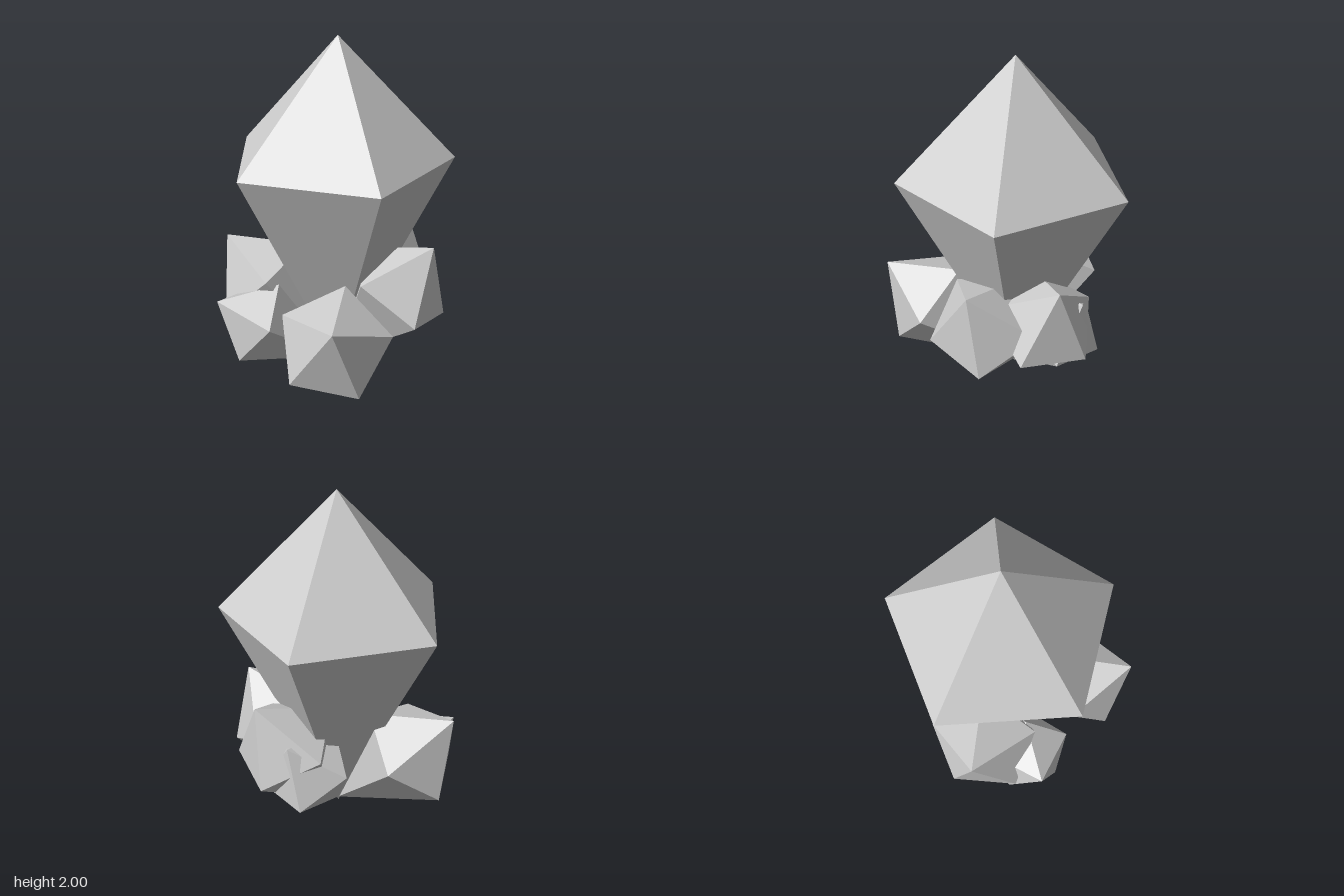
import * as THREE from 'three';

// Five-sided crystal of unit length, growing from its point at the origin along +y
function crystalGeometry(ringHeight, radius) {
  const profile = [[0, 0], [radius, ringHeight], [0, 1]].map(([x, y]) => new THREE.Vector2(x, y));
  const geometry = new THREE.LatheGeometry(profile, 5).toNonIndexed();
  geometry.computeVertexNormals();
  return geometry;
}

// Crystal from root to apex, turned so one corner of its widest ring points to the corner position
function crystal(name, material, root, apex, corner, ringHeight = 0.655, radius = 0.33) {
  const start = new THREE.Vector3(...root);
  const up = new THREE.Vector3(...apex).sub(start);
  const length = up.length();
  up.normalize();
  const out = new THREE.Vector3(...corner).sub(start).projectOnPlane(up).normalize();
  const side = new THREE.Vector3().crossVectors(up, out);

  const mesh = new THREE.Mesh(crystalGeometry(ringHeight, radius), material);
  mesh.name = name;
  mesh.position.copy(start);
  mesh.quaternion.setFromRotationMatrix(new THREE.Matrix4().makeBasis(side, up, out));
  mesh.scale.setScalar(length);
  return mesh;
}

export function createModel() {
  const group = new THREE.Group();
  group.name = 'crystalCluster';
  const material = new THREE.MeshStandardMaterial({ color: 0xcccccc, flatShading: true });

  // Tall upright crystal
  group.add(crystal('mainCrystal', material, [0.03, 0, -0.05], [0.03, 2, -0.05], [0.03, 1.31, -0.71]));

  // Small crystals leaning outward from the shared root
  const root = [0.03, 0.02, -0.05];
  const small = [
    ['frontCrystal', [0.23, 0.62, 0.71], [-0.03, 0.23, 0.63]],
    ['leftCrystal', [0.6, 0.83, -0.05], [0.56, 0.445, 0.21]],
    ['rightCrystal', [-0.665, 0.745, -0.055], [-0.64, 0.295, -0.19]],
    ['frontRightCrystal', [-0.57, 0.505, 0.345], [-0.326, 0.489, 0.2], 0.7, 0.3],
    ['backCrystal', [0.14, 0.66, -0.53], [0.045, 0.31, -0.6], 0.68, 0.34],
    ['backLeftCrystal', [0.35, 0.845, -0.48], [0.555, 0.44, -0.35]],
  ];
  for (const [name, apex, corner, ringHeight, radius] of small) {
    group.add(crystal(name, material, root, apex, corner, ringHeight, radius));
  }
  return group;
}
